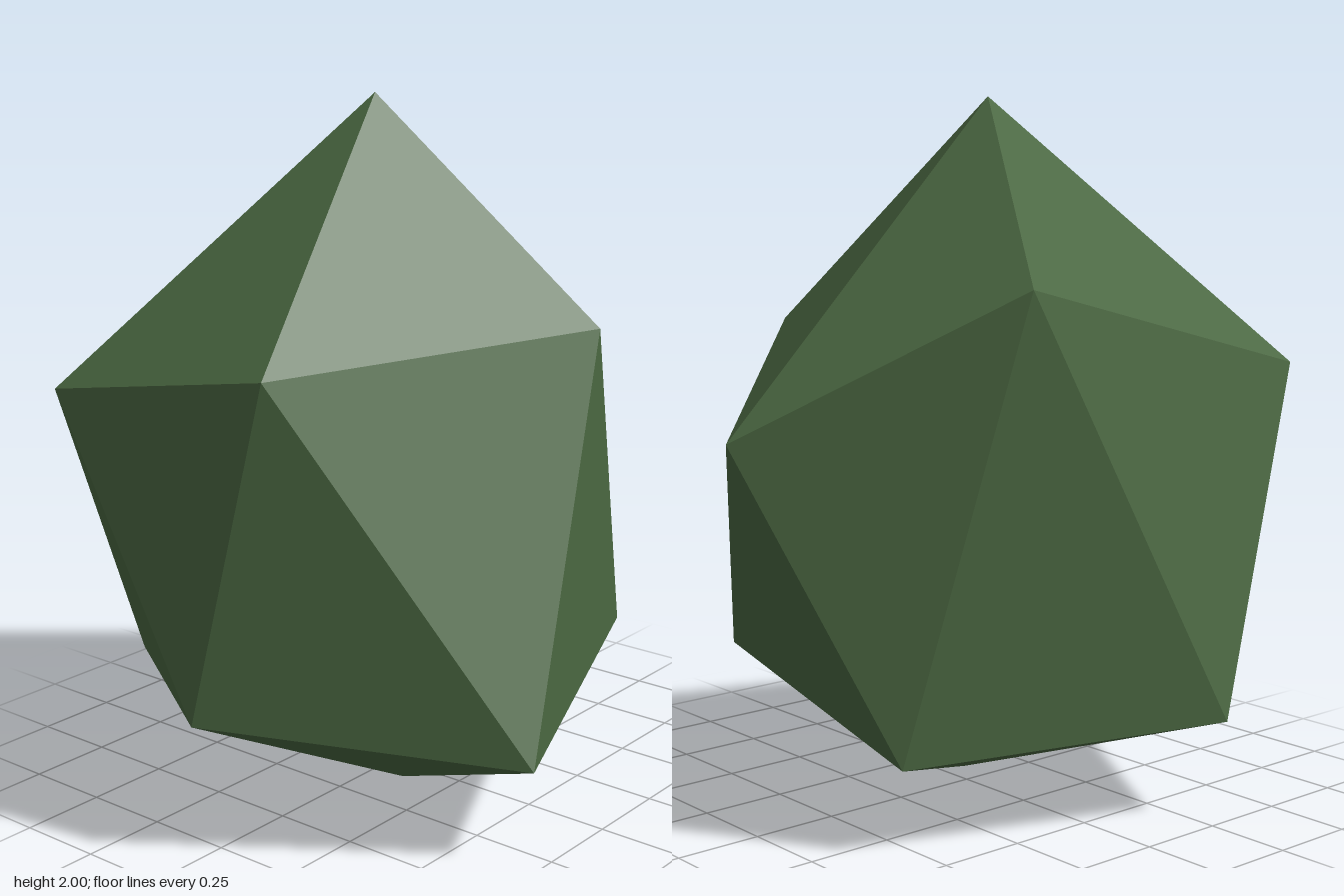
import * as THREE from 'three';

// Irregular low-poly boulder: a distorted icosahedron, apex + two five-point rings + base point
export function createModel() {
  const apex = [-0.08, 2, 0];
  const base = [-0.08, 0, 0.1];
  const upper = [
    [0.26, 1.355, 0.53], [0.855, 1.09, -0.04], [0.26, 1.49, -0.565],
    [-0.83, 1.23, -0.505], [-0.76, 1.335, 0.19],
  ];
  const lower = [
    [-0.32, 0.28, 0.735], [0.51, 0.415, 0.46], [0.56, 0.24, -0.395],
    [-0.32, 0.28, -0.735], [-0.86, 0.395, 0.01],
  ];

  // Each step round the rings adds a cap facet, two side facets and a base facet
  const corners = [];
  for (let i = 0; i < 5; i++) {
    const j = (i + 1) % 5;
    corners.push(
      apex, upper[i], upper[j],
      upper[i], lower[i], lower[j],
      upper[i], lower[j], upper[j],
      base, lower[j], lower[i],
    );
  }
  const geometry = new THREE.BufferGeometry();
  geometry.setAttribute('position', new THREE.Float32BufferAttribute(corners.flat(), 3));
  geometry.computeVertexNormals();

  const mossGreen = new THREE.MeshStandardMaterial({ color: 0x4a6741 });
  mossGreen.name = 'mossGreen';
  mossGreen.flatShading = true;

  const boulder = new THREE.Mesh(geometry, mossGreen);
  boulder.name = 'boulder';
  const model = new THREE.Group();
  model.name = 'facetedBoulder';
  model.add(boulder);
  return model;
}
